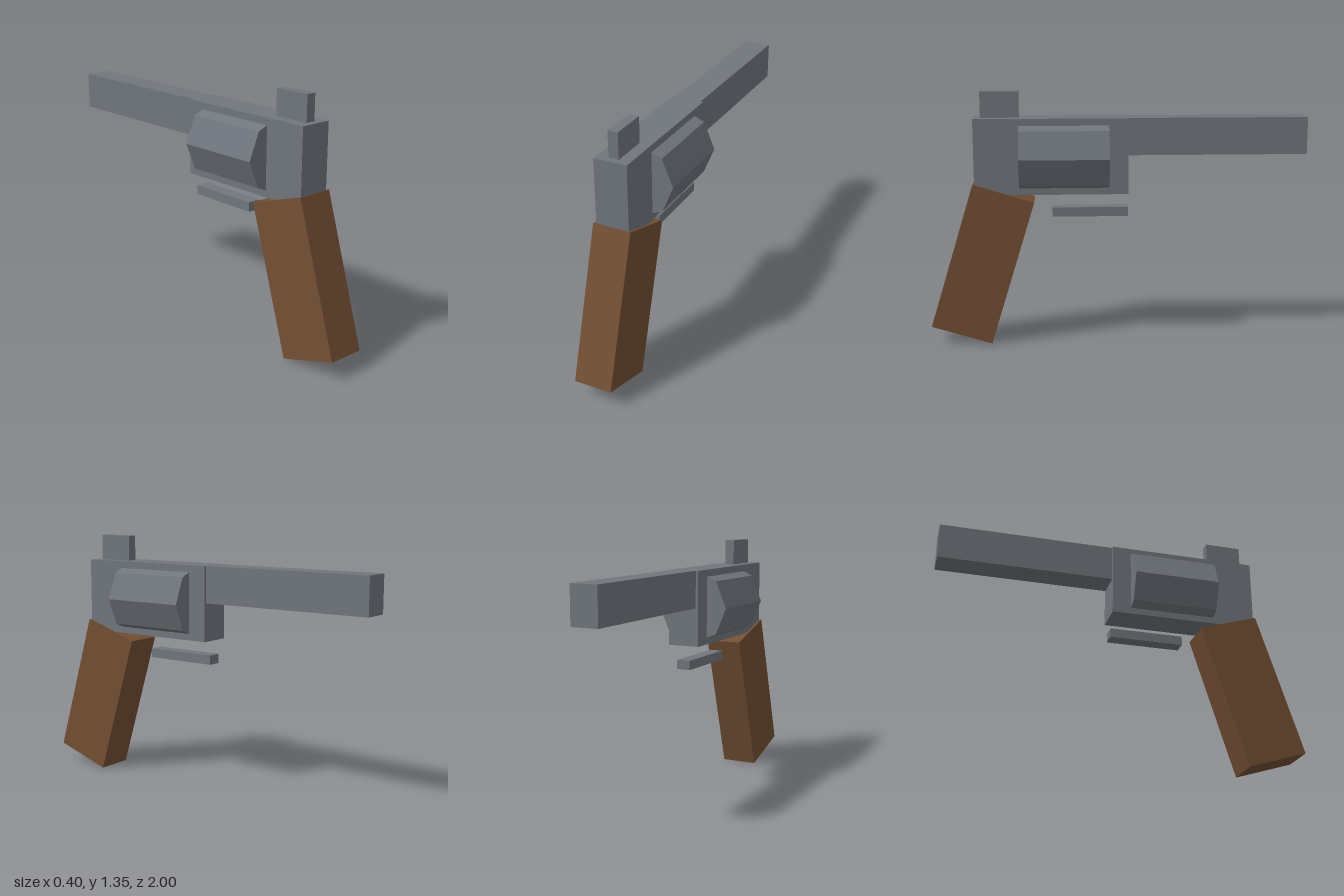
import * as THREE from 'three';

export function createModel() {
  const model = new THREE.Group();
  model.name = 'toyRevolver';

  const steel = new THREE.MeshStandardMaterial({ color: 0x70767d, flatShading: true });
  steel.name = 'steel grey';
  const wood = new THREE.MeshStandardMaterial({ color: 0x734f34, flatShading: true });
  wood.name = 'wood brown';

  const add = (name, geometry, material, y, z) => {
    const mesh = new THREE.Mesh(geometry, material);
    mesh.name = name;
    mesh.position.set(0, y, z);
    model.add(mesh);
    return mesh;
  };
  // box given by its width and its y and z ranges
  const block = (name, width, y0, y1, z0, z1) =>
    add(name, new THREE.BoxGeometry(width, y1 - y0, z1 - z0), steel, (y0 + y1) / 2, (z0 + z1) / 2);

  block('frame', 0.175, 0.813, 1.213, -0.053, 0.755);
  block('barrel', 0.146, 1.017, 1.213, -1, -0.053);
  block('hammer', 0.053, 1.213, 1.35, 0.52, 0.72);
  block('triggerGuard', 0.075, 0.685, 0.735, -0.053, 0.35);

  // eight-sided drum lying along z, with a corner pointing to each side
  const drum = new THREE.CylinderGeometry(0.2, 0.2, 0.47, 8).rotateX(Math.PI / 2);
  add('drum', drum, steel, 1.012, 0.284);

  // grip leaning back
  const grip = add('grip', new THREE.BoxGeometry(0.2, 0.805, 0.335), wood, 0.438, 0.722);
  grip.rotation.x = -0.3;

  return model;
}
